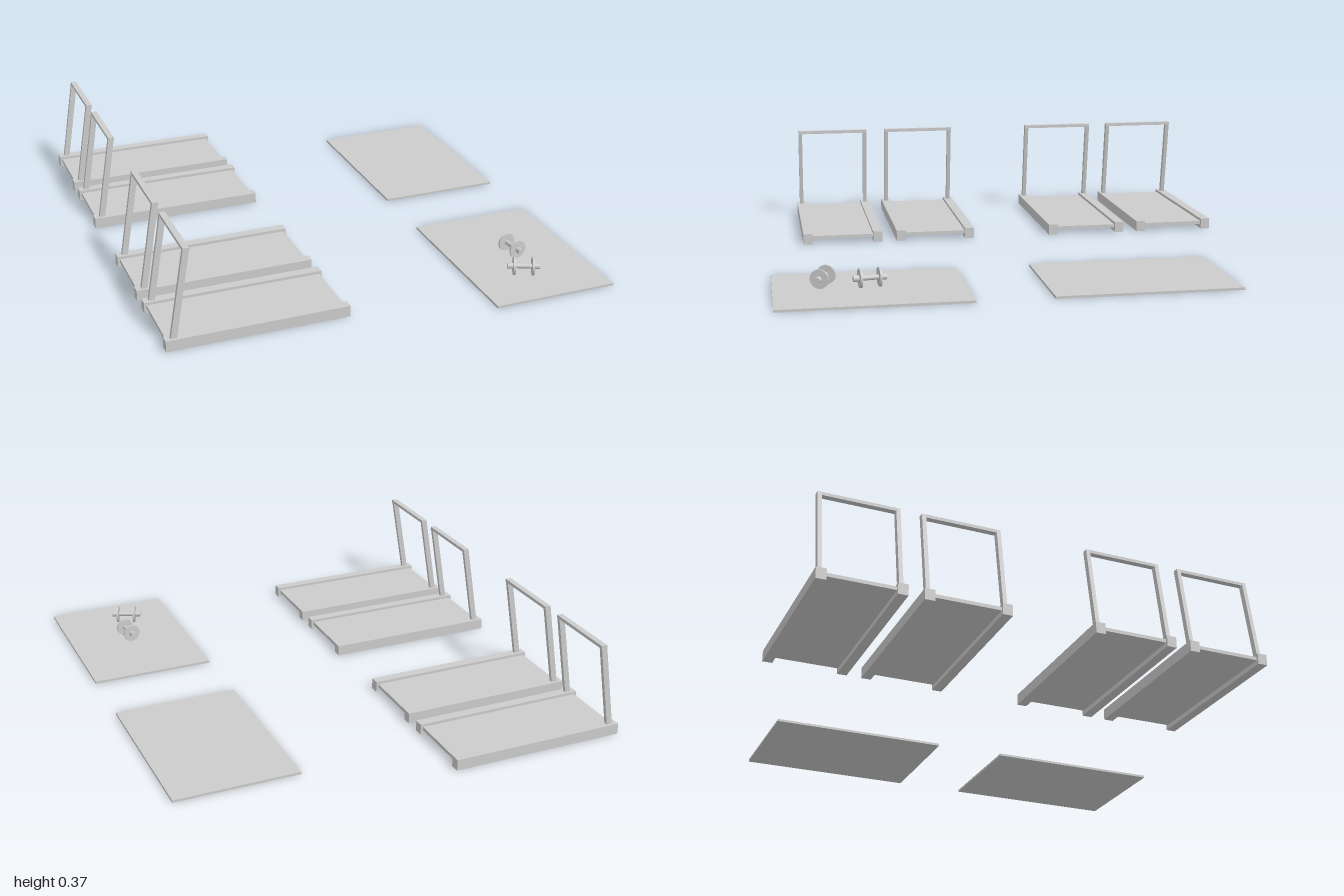
import * as THREE from 'three';

const material = new THREE.MeshStandardMaterial({ color: 0xcccccc });
const TURN = -0.135; // every station is turned a little about y

function add(parent, name, geometry, x = 0, y = 0, z = 0) {
  const mesh = new THREE.Mesh(geometry, material);
  mesh.name = name;
  mesh.position.set(x, y, z);
  parent.add(mesh);
  return mesh;
}

// Box whose top is shifted along x, for the leaning posts
function leaningBox(w, h, d, lean) {
  const geometry = new THREE.BoxGeometry(w, h, d);
  const p = geometry.attributes.position;
  for (let i = 0; i < p.count; i++) p.setX(i, p.getX(i) + lean * (p.getY(i) / h + 0.5));
  geometry.computeVertexNormals();
  return geometry;
}

function createTreadmill() {
  const group = new THREE.Group();
  group.name = 'treadmill';
  add(group, 'deck', new THREE.BoxGeometry(0.64, 0.013, 0.245), 0, 0.024, 0);
  for (const side of [-1, 1]) {
    const z = side * 0.137;
    add(group, 'sideRail', new THREE.BoxGeometry(0.658, 0.041, 0.036), 0, 0.0205, z);
    add(group, 'handlePost', leaningBox(0.022, 0.323, 0.015, 0.054), -0.298, 0.2015, z);
  }
  add(group, 'handleBar', new THREE.BoxGeometry(0.022, 0.012, 0.289), -0.244, 0.359, 0);
  return group;
}

// Dumbbell lying along its own z axis
function createDumbbell() {
  const group = new THREE.Group();
  group.name = 'dumbbell';
  const rod = (r, length) => new THREE.CylinderGeometry(r, r, length, 24).rotateX(Math.PI / 2);
  add(group, 'grip', rod(0.009, 0.066));
  for (const side of [-1, 1]) {
    add(group, 'weightPlate', rod(0.034, 0.007), 0, 0, side * 0.034);
    add(group, 'barEnd', rod(0.011, 0.026), 0, 0, side * 0.045);
  }
  return group;
}

export function createModel() {
  const model = new THREE.Group();
  model.name = 'gymEquipment';

  // Row of four treadmills in two pairs
  for (const [x, z] of [[-0.376, -0.806], [-0.424, -0.443], [-0.505, 0.17], [-0.553, 0.534]]) {
    const treadmill = createTreadmill();
    treadmill.position.set(x, 0, z);
    treadmill.rotation.y = TURN;
    model.add(treadmill);
  }

  // Floor mats
  for (const [x, z] of [[0.628, -0.295], [0.504, 0.635]]) {
    add(model, 'floorMat', new THREE.BoxGeometry(0.466, 0.009, 0.667), x, 0.0045, z).rotation.y = TURN;
  }

  // Dumbbells on the front mat
  for (const [x, z, turn] of [[0.505, 0.635, 0], [0.445, 0.787, 1.03]]) {
    const dumbbell = createDumbbell();
    dumbbell.position.set(x, 0.044, z);
    dumbbell.rotation.y = turn;
    model.add(dumbbell);
  }
  return model;
}
